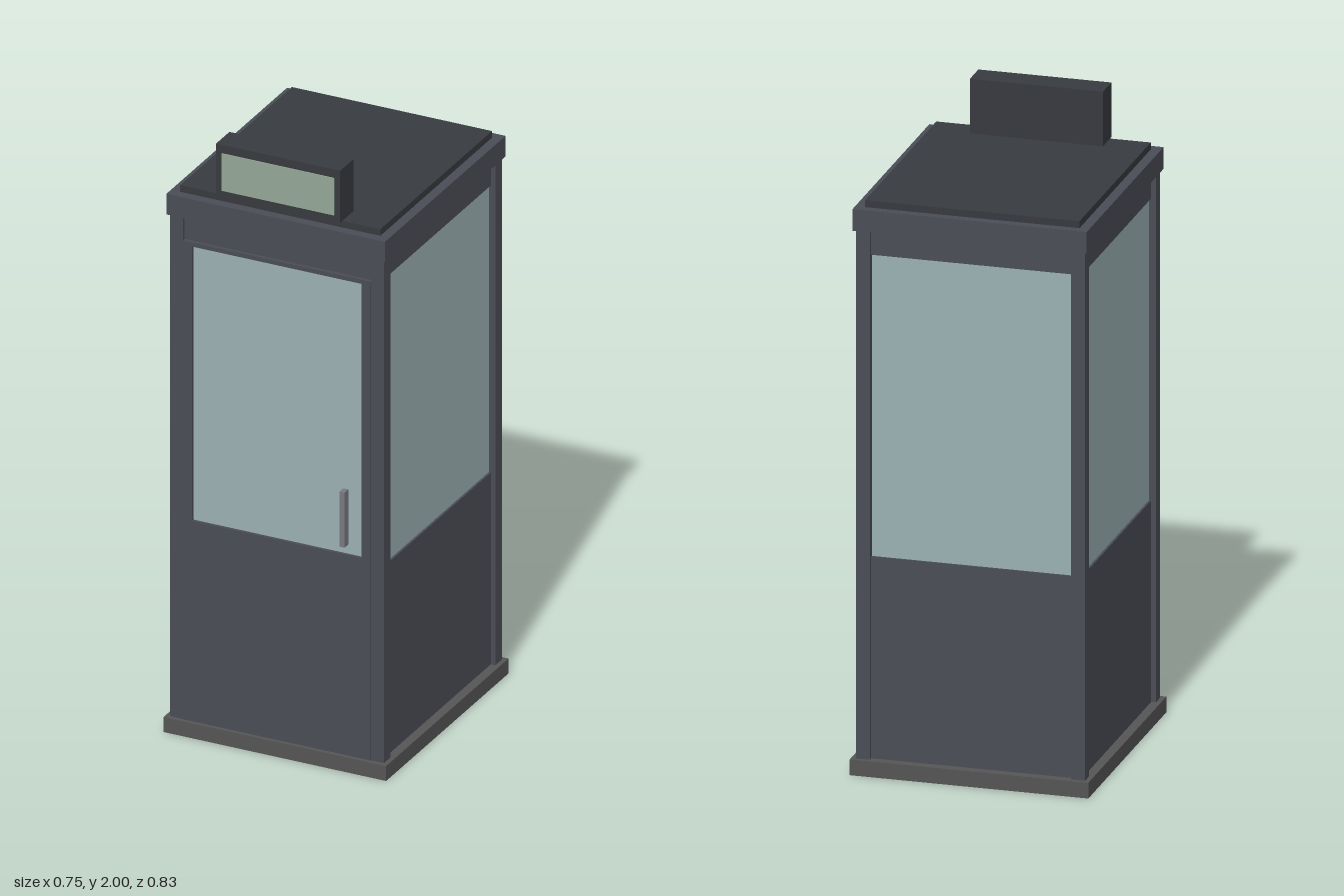
import * as THREE from 'three';

const mat = (color) => new THREE.MeshStandardMaterial({ color });

export function createModel() {
  const model = new THREE.Group();
  const frame = mat(0x4a4d55), dark = mat(0x373a3f), plinth = mat(0x555555);
  const glass = mat(0x9ab0b2), lit = mat(0x93a898), metal = mat(0x777a80);

  // Box given by its limits on each axis
  const box = (name, material, [x0, x1], [y0, y1], [z0, z1], parent = model) => {
    const mesh = new THREE.Mesh(new THREE.BoxGeometry(x1 - x0, y1 - y0, z1 - z0), material);
    mesh.position.set((x0 + x1) / 2, (y0 + y1) / 2, (z0 + z1) / 2);
    mesh.name = name;
    parent.add(mesh);
    return mesh;
  };
  const sym = (h) => [-h, h];

  const zFront = 0.392, zBack = -0.402, xSide = 0.36, post = 0.044;
  const floorY = 0.05, sillY = 0.693, headY = 1.656, roofY = 1.735;

  // Base, roof slab and raised roof cap
  box('base', plinth, sym(0.375), [0, floorY], [-0.417, 0.407]);
  box('roof', frame, sym(0.368), [roofY, 1.804], [-0.411, 0.401]);
  box('roofCap', dark, sym(0.337), [1.804, 1.826], [-0.382, 0.37]);

  // Four corner posts
  for (const s of [-1, 1]) {
    const x = s > 0 ? [xSide - post, xSide] : [-xSide, post - xSide];
    box('frontPost', frame, x, [floorY, roofY], [zFront - post, zFront]);
    box('backPost', frame, x, [floorY, roofY], [zBack, zBack + post]);
  }

  // Recessed walls: lower panel, window and header
  const tiers = [
    ['LowerPanel', frame, floorY, sillY, 0.015],
    ['Window', glass, sillY, headY, 0.022],
    ['Header', frame, headY, roofY, 0.015],
  ];
  const xIn = xSide - post, zIn = [zBack + post, zFront - post];
  for (const [part, material, y0, y1, inset] of tiers) {
    const o = xSide - inset, i = xSide - 0.038;
    box('left' + part, material, [i, o], [y0, y1], zIn);
    box('right' + part, material, [-o, -i], [y0, y1], zIn);
    box('back' + part, material, sym(xIn), [y0, y1], [zBack + inset, zBack + 0.038]);
  }
  box('frontHeader', frame, sym(xIn), [headY, roofY], [zFront - 0.038, zFront - 0.01]);

  // Front door with a window opening, pane and handle
  const door = new THREE.Group();
  door.name = 'door';
  const rect = (target, w, y0, y1) =>
    target.moveTo(-w, y0).lineTo(w, y0).lineTo(w, y1).lineTo(-w, y1).closePath();
  const outline = rect(new THREE.Shape(), xIn, floorY, headY);
  outline.holes.push(rect(new THREE.Path(), 0.286, 0.722, 1.642));
  const leaf = new THREE.Mesh(
    new THREE.ExtrudeGeometry(outline, { depth: 0.034, bevelEnabled: false }), frame);
  leaf.name = 'doorLeaf';
  leaf.position.z = 0.36;
  door.add(leaf);
  box('doorWindow', glass, sym(0.286), [0.722, 1.642], [0.37, 0.384], door);
  box('doorHandle', metal, [0.223, 0.24], [0.757, 0.942], [0.392, 0.417], door);
  model.add(door);

  // Illuminated sign box on the roof
  box('signBox', dark, sym(0.209), [1.826, 2], [0.295, 0.384]);
  box('signPanel', lit, sym(0.189), [1.847, 1.972], [0.38, 0.387]);

  return model;
}
